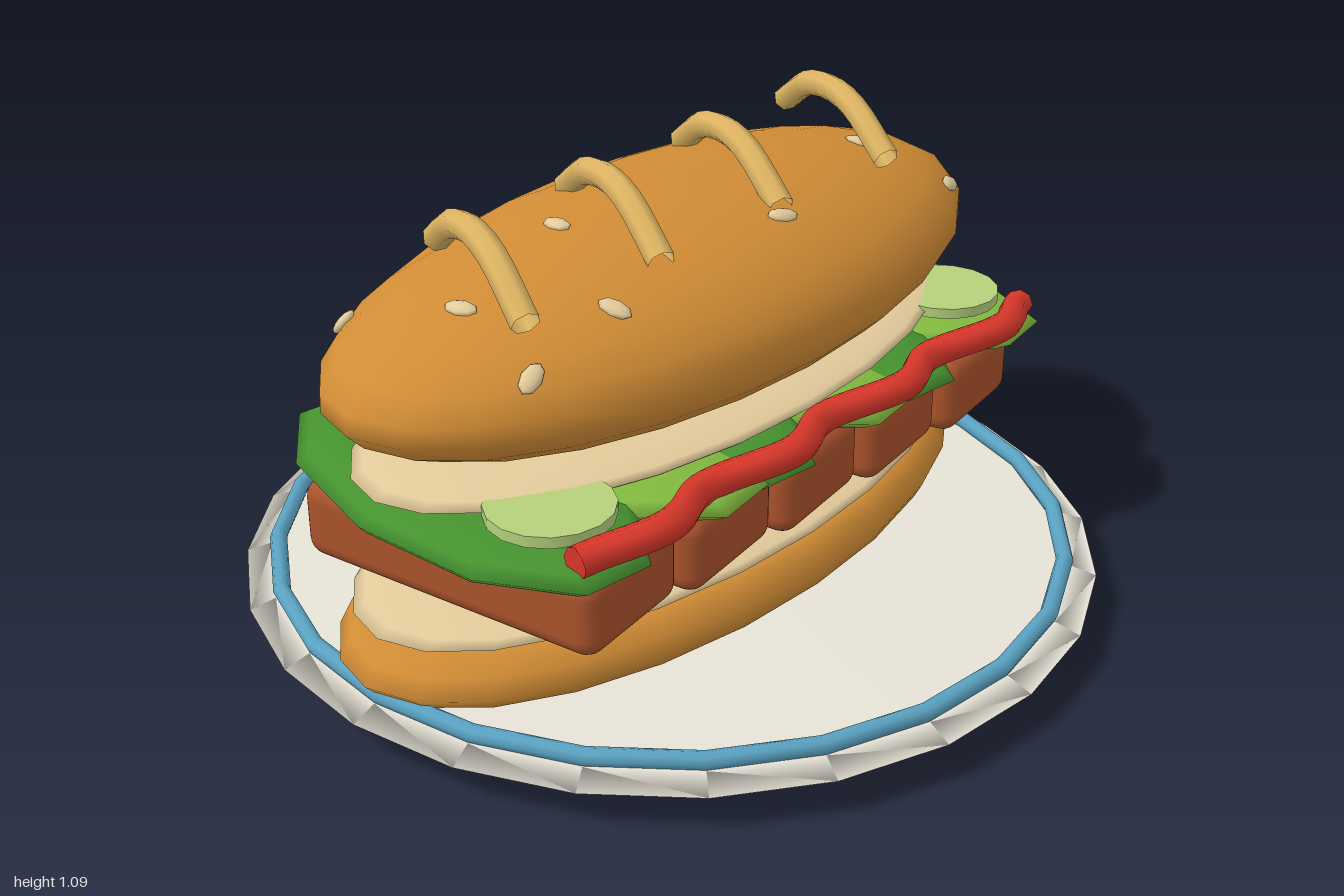
import * as THREE from 'three';
import { RoundedBoxGeometry } from 'three/addons/geometries/RoundedBoxGeometry.js';

const mat = (name, color, side = THREE.FrontSide) => {
  const m = new THREE.MeshStandardMaterial({ color, side });
  m.name = name;
  return m;
};

export function createModel() {
  const model = new THREE.Group();
  model.name = 'sandwichOnPlate';

  const plateWhite = mat('plateWhite', 0xe6e2d6);
  const rimBlue = mat('rimBlue', 0x5aa2c2);
  const crust = mat('crust', 0xd18c35);
  const cream = mat('cream', 0xe3cb9b);
  const meatBrown = mat('meatBrown', 0xaa532c);
  const leafDark = mat('leafDark', 0x46922f);
  const leafLight = mat('leafLight', 0x80b83f);
  const pickleGreen = mat('pickleGreen', 0xb5d07c);
  const sauceRed = mat('sauceRed', 0xd8372a, THREE.DoubleSide);
  const stripGold = mat('stripGold', 0xddb462, THREE.DoubleSide);

  const add = (name, geometry, material, x = 0, y = 0, z = 0) => {
    const mesh = new THREE.Mesh(geometry, material);
    mesh.name = name;
    mesh.position.set(x, y, z);
    model.add(mesh);
    return mesh;
  };
  const lathe = (pts, segments = 24) =>
    new THREE.LatheGeometry(pts.map(([r, y]) => new THREE.Vector2(r, y)), segments);

  // Plate with a painted ring
  add('plate', lathe([[0, 0], [0.8, 0], [1, 0.09], [0.94, 0.11], [0, 0.12]]), plateWhite);
  add('plateRing', new THREE.TorusGeometry(0.925, 0.02, 8, 24).rotateX(Math.PI / 2), rimBlue, 0, 0.125);

  // Oval buns
  const RX = 0.96, RZ = 0.45, BUN_Y = 0.76, BUN_H = 0.23;
  add('bottomBun', lathe([[0, 0.09], [0.85, 0.1], [0.97, 0.13], [1, 0.16], [0.97, 0.2], [0.9, 0.24], [0.6, 0.26], [0, 0.26]])
    .scale(RX, 1, RZ), crust);
  const bunProfile = [[0, 0.6], [0.3, 0.6]];
  for (let i = 0; i <= 12; i++) {
    const a = -0.93 + (i / 12) * (Math.PI / 2 + 0.93);
    bunProfile.push([Math.max(0, Math.cos(a)), BUN_Y + Math.sin(a) * (a < 0 ? 0.2 : BUN_H)]);
  }
  add('topBun', lathe(bunProfile).scale(RX, 1, RZ), crust);

  // Lens-shaped cream layers
  add('lowerCream', new THREE.SphereGeometry(1, 24, 12).scale(0.92, 0.042, 0.42), cream, 0, 0.26);
  add('upperCream', new THREE.SphereGeometry(1, 24, 12).scale(0.9, 0.045, 0.41), cream, 0, 0.573);

  // Row of slightly turned meat pieces
  const meatGeo = new RoundedBoxGeometry(0.32, 0.185, 0.77, 3, 0.045);
  for (let i = -2; i <= 2; i++) {
    add('meatPiece', meatGeo, meatBrown, i * 0.315, 0.382, 0.035).rotation.y = 0.12;
  }

  // Six overlapping leaves, alternating in colour and turn
  const leafGeo = new THREE.SphereGeometry(1, 10, 8).scale(0.26, 0.058, 0.525);
  for (let i = 0; i < 6; i++) {
    const dark = i % 2 === 0;
    const leaf = add('lettuceLeaf', leafGeo, dark ? leafDark : leafLight, -0.66 + i * 0.264, dark ? 0.51 : 0.514);
    leaf.rotation.y = dark ? -0.13 : 0.13;
  }

  // Pickle slices
  for (const s of [-1, 1]) {
    add('pickleSlice', new THREE.CylinderGeometry(0.135, 0.135, 0.025, 16), pickleGreen, s * 0.69, 0.573, 0.28);
  }

  // Wavy line of sauce along the front
  const wave = [];
  for (let i = 0; i <= 32; i++) {
    const x = -0.785 + (i / 32) * 1.57;
    const c = Math.cos((x * Math.PI * 2) / 0.4);
    wave.push(new THREE.Vector3(x, 0.568 - 0.012 * c, 0.474 - 0.035 * c));
  }
  add('sauceLine', new THREE.TubeGeometry(new THREE.CatmullRomCurve3(wave), 64, 0.034, 8), sauceRed);
  for (const [p, s] of [[wave[0], -1], [wave[32], 1]]) {
    add('sauceEnd', new THREE.CircleGeometry(0.034, 8).rotateY(s * Math.PI / 2), sauceRed, p.x, p.y, p.z);
  }

  // Arched strips across the top
  const arch = new THREE.CatmullRomCurve3([
    [-0.085, 0.955, 0.225], [-0.033, 1.037, 0.09], [0, 1.057, 0], [0.033, 1.042, -0.09], [0.085, 0.965, -0.2],
  ].map((p) => new THREE.Vector3(...p)));
  const archGeo = new THREE.TubeGeometry(arch, 12, 0.031, 7);
  for (let i = 0; i < 4; i++) add('topStrip', archGeo, stripGold, -0.6 + i * 0.395);

  // Seeds lying on the bun surface
  const seedGeo = new THREE.SphereGeometry(1, 8, 6).scale(0.022, 0.012, 0.038);
  const seeds = [
    [-0.73, -0.26, 0.4], [-0.39, -0.26, 1.1], [0, -0.265, 0], [0.52, -0.255, 1.5], [-0.32, -0.04, -0.1],
    [0.27, 0, 1.9], [0.75, 0.01, 2.1], [-0.67, 0.03, 0.2], [-0.7, 0.25, 1.9], [-0.46, 0.25, 0.3],
    [0.08, 0.25, 1.2], [0.74, 0.25, 1.8], [0.6, 0.08, 0.3],
  ];
  const up = new THREE.Vector3(0, 1, 0);
  for (const [x, z, spin] of seeds) {
    const h = Math.sqrt(1 - (x / RX) ** 2 - (z / RZ) ** 2) * BUN_H;
    const normal = new THREE.Vector3(x / RX ** 2, h / BUN_H ** 2, z / RZ ** 2).normalize();
    const seed = add('seed', seedGeo, cream, x, BUN_Y + h, z);
    seed.quaternion.setFromUnitVectors(up, normal);
    seed.rotateY(spin);
  }

  return model;
}
